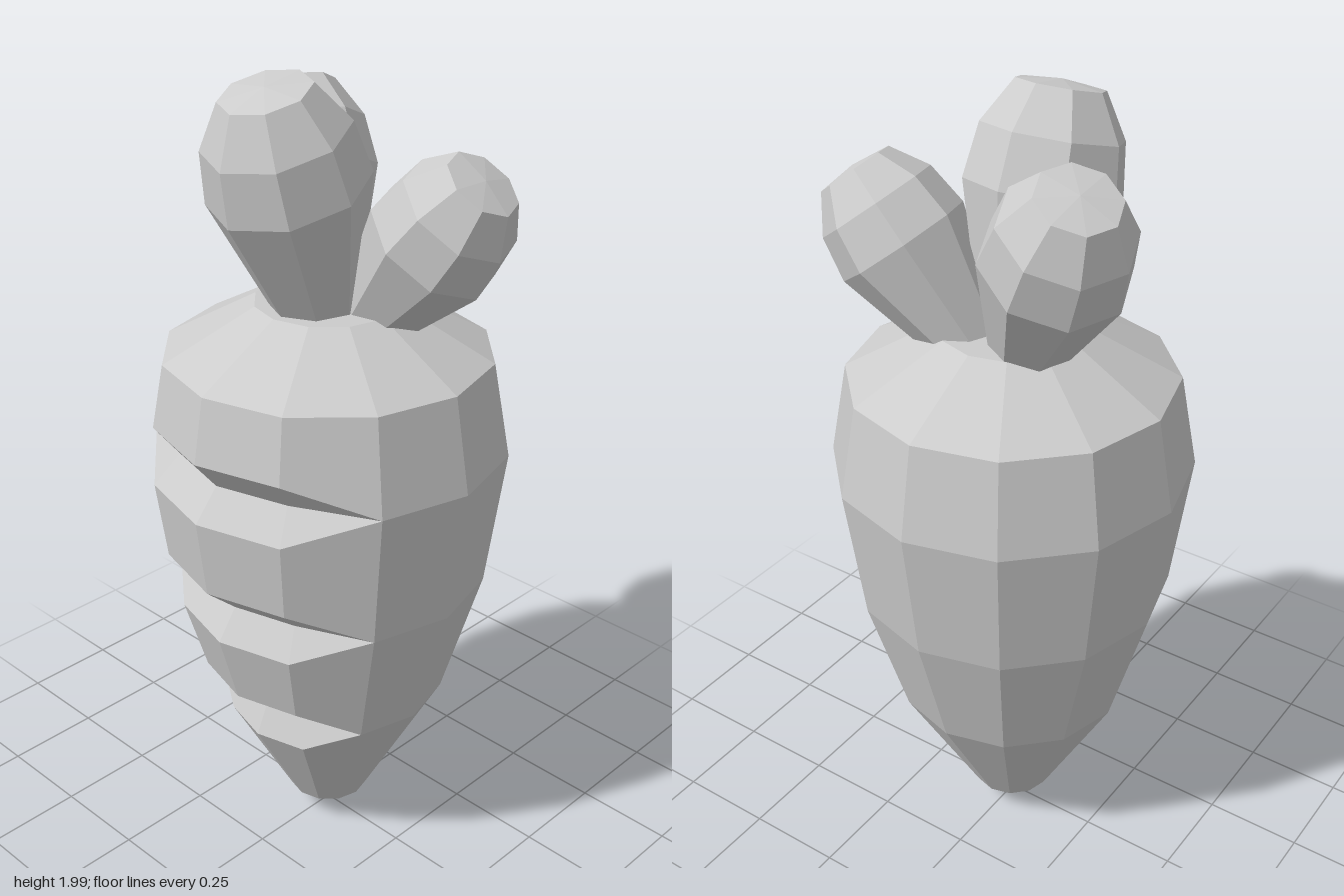
import * as THREE from 'three';

const SIDES = 12;

function makeMaterial() {
  return new THREE.MeshStandardMaterial({ color: 0xcccccc, flatShading: true });
}

// Main rings of the root as [height, radius], tip to crown
const profile = [
  [0, 0], [0.07, 0.103], [0.425, 0.297], [0.76, 0.393],
  [1.105, 0.437], [1.335, 0.394], [1.455, 0.175], [1.455, 0],
];

function radiusAt(y) {
  for (let i = 1; i < profile.length; i++) {
    const [y0, r0] = profile[i - 1];
    const [y1, r1] = profile[i];
    if (y <= y1) return r0 + (r1 - r0) * (y - y0) / (y1 - y0);
  }
  return 0;
}

// Twelve-sided root; three rings split open at the front into wedge grooves
function createRoot() {
  const grooved = [2, 3, 4];
  const rows = [];
  profile.forEach(([y, r], i) => {
    const ring = { y, r, frontY: y, frontR: r };
    if (!grooved.includes(i)) return rows.push(ring);
    const lip = (h) => ({ y, r, frontY: h, frontR: radiusAt(h) });
    rows.push(lip(y - 0.075), { ...ring, frontR: r - 0.075 }, lip(y + 0.075));
  });

  const corner = (row, j) => {
    const k = j % SIDES;
    const front = k === 0 || k === 1 || k === SIDES - 1;
    const r = front ? row.frontR : row.r;
    const a = k * Math.PI * 2 / SIDES;
    return new THREE.Vector3(r * Math.sin(a), front ? row.frontY : row.y, r * Math.cos(a));
  };

  const positions = [];
  const triangle = (a, b, c) => {
    const area = b.clone().sub(a).cross(c.clone().sub(a)).length();
    if (area > 1e-7) for (const p of [a, b, c]) positions.push(p.x, p.y, p.z);
  };
  for (let i = 0; i < rows.length - 1; i++) {
    for (let j = 0; j < SIDES; j++) {
      const a = corner(rows[i], j), b = corner(rows[i], j + 1);
      const c = corner(rows[i + 1], j + 1), d = corner(rows[i + 1], j);
      triangle(a, b, c);
      triangle(a, c, d);
    }
  }
  const geometry = new THREE.BufferGeometry();
  geometry.setAttribute('position', new THREE.Float32BufferAttribute(positions, 3));
  geometry.computeVertexNormals();
  const mesh = new THREE.Mesh(geometry, makeMaterial());
  mesh.name = 'root';
  return mesh;
}

// Eight-sided club-shaped leaf running from base to tip
function createLeaf(name, base, tip, radius) {
  const axis = new THREE.Vector3(...tip).sub(new THREE.Vector3(...base));
  const length = axis.length();
  const points = [[0, 0], [0.46, 0], [1, 0.6], [0.9, 0.81], [0.56, 0.98], [0, 1]]
    .map(([r, t]) => new THREE.Vector2(r * radius, t * length));
  const geometry = new THREE.LatheGeometry(points, 8).toNonIndexed();
  geometry.computeVertexNormals();
  const mesh = new THREE.Mesh(geometry, makeMaterial());
  mesh.name = name;
  mesh.position.set(...base);
  mesh.quaternion.setFromUnitVectors(new THREE.Vector3(0, 1, 0), axis.normalize());
  return mesh;
}

export function createModel() {
  const model = new THREE.Group();
  model.name = 'carrot';
  model.add(
    createRoot(),
    createLeaf('frontLeaf', [0, 1.4, 0.02], [0, 1.975, 0.19], 0.187),
    createLeaf('leftLeaf', [0.06, 1.39, -0.055], [0.365, 1.79, -0.1], 0.162),
    createLeaf('rightLeaf', [-0.05, 1.4, -0.03], [-0.27, 1.89, -0.16], 0.172),
  );
  return model;
}
